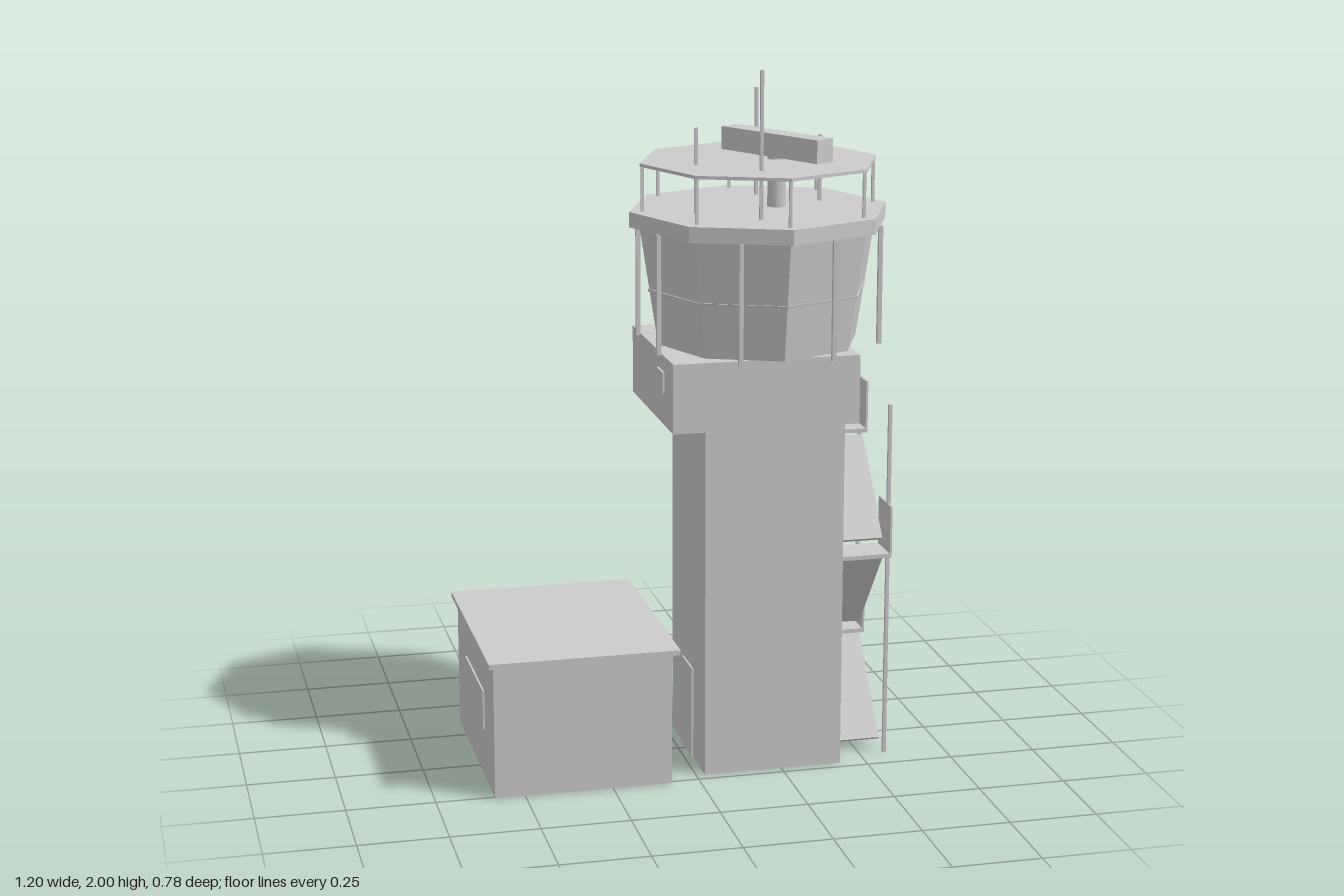
import * as THREE from 'three';

export function createModel() {
  const model = new THREE.Group();
  const grey = new THREE.MeshStandardMaterial({ color: 0xcccccc });
  grey.name = 'light grey';
  const CX = 0.225, CZ = 0.018; // axis of the tower

  const add = (name, geometry, x, y, z) => {
    const mesh = new THREE.Mesh(geometry, grey);
    mesh.name = name;
    mesh.position.set(x, y, z);
    model.add(mesh);
    return mesh;
  };
  // box given by its extents
  const box = (name, x0, x1, y0, y1, z0, z1) =>
    add(name, new THREE.BoxGeometry(x1 - x0, y1 - y0, z1 - z0),
      (x0 + x1) / 2, (y0 + y1) / 2, (z0 + z1) / 2);
  // faceted eight-sided drum on the tower axis, corners on the x and z axes
  const octagon = (name, rTop, rBottom, y0, y1) => {
    const g = new THREE.CylinderGeometry(rTop, rBottom, y1 - y0, 8).toNonIndexed();
    g.computeVertexNormals();
    return add(name, g, CX, (y0 + y1) / 2, CZ);
  };
  // upright square rod
  const rod = (name, x, z, y0, y1, w = 0.01) =>
    box(name, x - w / 2, x + w / 2, y0, y1, z - w / 2, z + w / 2);

  // annex
  box('annexWalls', -0.585, -0.08, 0, 0.385, -0.37, 0.26);
  box('annexRoof', -0.6, -0.06, 0.385, 0.4, -0.39, 0.28);
  box('annexWindow', -0.59, -0.584, 0.145, 0.26, -0.205, 0.1);

  // shaft and the wider block on it
  box('shaft', 0.025, 0.425, 0, 1.02, -0.18, 0.22);
  box('shaftDoor', 0.02, 0.026, 0, 0.27, -0.04, 0.08);
  box('upperBlock', -0.08, 0.45, 1.02, 1.215, -0.235, 0.275);
  box('blockWindow', -0.086, -0.079, 1.11, 1.17, 0.1, 0.17);

  // control cab with overhanging roof
  octagon('cabGlazing', 0.34, 0.288, 1.215, 1.55);
  octagon('cabTransom', 0.317, 0.315, 1.366, 1.374);
  octagon('cabRoof', 0.37, 0.37, 1.55, 1.593);
  for (let i = 0; i < 8; i++) {
    const mid = (i + 0.5) * Math.PI / 4, corner = i * Math.PI / 4;
    rod('cabPost', CX + 0.342 * Math.sin(mid), CZ + 0.342 * Math.cos(mid), 1.215, 1.55, 0.012);
    rod('railPost', CX + 0.332 * Math.sin(corner), CZ + 0.332 * Math.cos(corner), 1.593, 1.72, 0.008);
  }
  octagon('upperDeck', 0.34, 0.34, 1.718, 1.727);

  // radar and antennas
  add('radarMast', new THREE.CylinderGeometry(0.027, 0.027, 0.145, 12), 0.277, 1.665, CZ);
  const radar = add('radarBar', new THREE.BoxGeometry(0.374, 0.065, 0.062), 0.275, 1.768, CZ);
  radar.rotation.y = -Math.PI / 3;
  for (const [x, z, top] of [[0.03, 0.08, 1.83], [0.18, 0.215, 2], [0.27, -0.18, 1.9], [0.42, -0.045, 1.78]])
    rod('antenna', x, z, 1.593, top, 0.009);

  // outside stairs: poles, landings with guard panels, flights
  rod('stairPole', 0.574, 0.165, 0, 1.04);
  rod('stairPole', 0.574, -0.125, 0, 1.055);
  for (const [y, z] of [[0.3, -0.105], [0.605, 0.145], [0.91, -0.105]]) {
    box('landing', 0.425, 0.575, y - 0.005, y + 0.007, z - 0.056, z + 0.056);
    box('landingGuard', 0.569, 0.575, y, y + 0.147, z - 0.056, z + 0.056);
  }
  for (const [y0, z0, y1, z1] of [[0.028, 0.125, 0.28, -0.085], [0.325, -0.085, 0.582, 0.125], [0.635, 0.125, 0.888, -0.085]]) {
    const dy = y1 - y0, dz = z1 - z0;
    const flight = add('stairFlight', new THREE.BoxGeometry(0.13, 0.012, Math.hypot(dy, dz)),
      0.505, (y0 + y1) / 2, (z0 + z1) / 2);
    flight.rotation.x = -Math.atan2(dy, dz);
  }
  return model;
}
